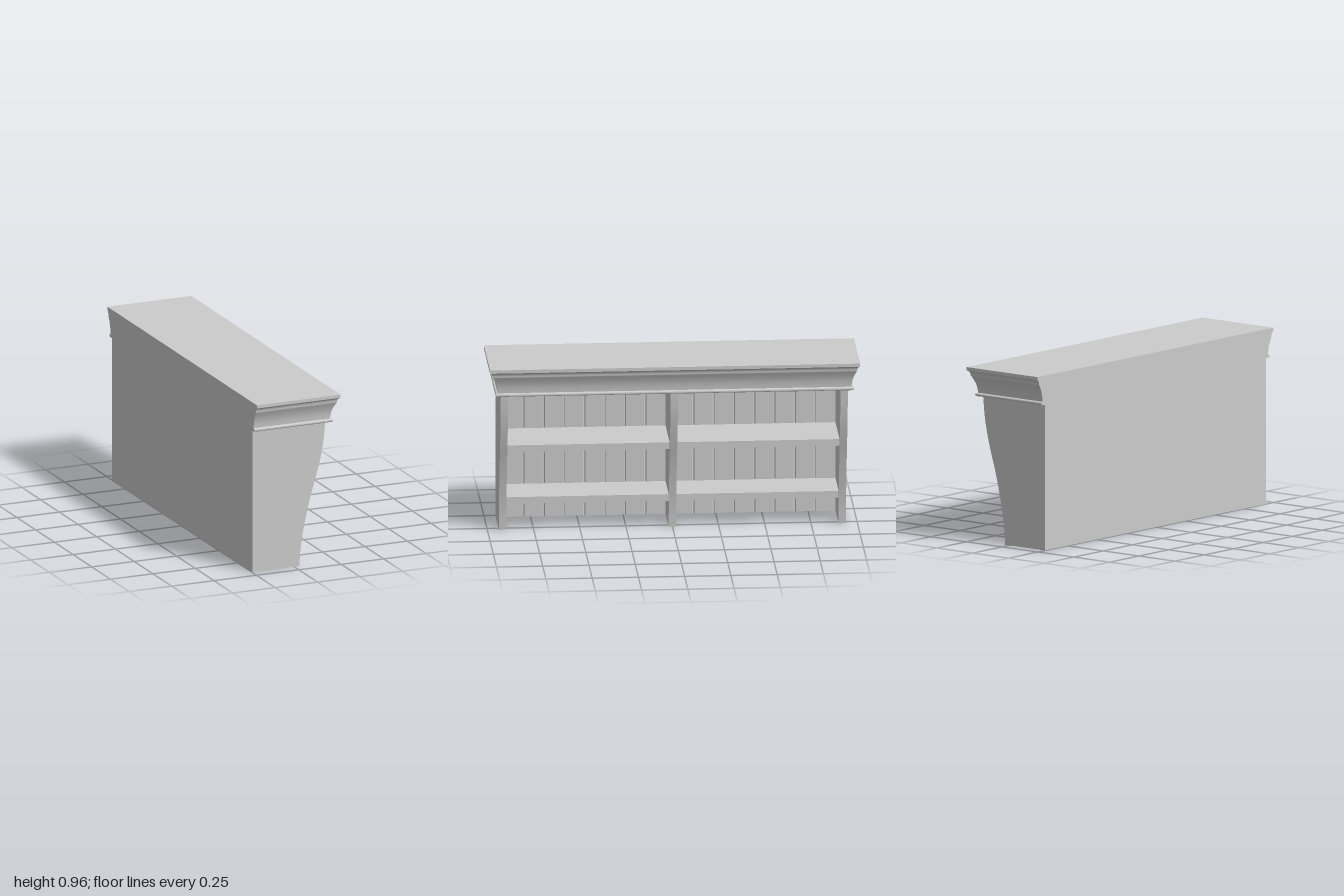
import * as THREE from 'three';
import { toCreasedNormals } from 'three/addons/utils/BufferGeometryUtils.js';

const BACK = -0.247, PANEL = 0.03, UNDER = 0.8;
const HALF = 0.938, THICK = 0.04, INNER = HALF - THICK;
const material = new THREE.MeshStandardMaterial({ color: 0xcccccc });

function add(group, name, geometry) {
  const mesh = new THREE.Mesh(geometry, material);
  mesh.name = name;
  group.add(mesh);
  return mesh;
}

// S-curved front edge shared by the uprights
const edge = new THREE.SplineCurve([
  [0.03, 0], [0.038, 0.1], [0.054, 0.2], [0.075, 0.3], [0.1, 0.4], [0.13, 0.5],
  [0.156, 0.6], [0.174, 0.7], [0.183, UNDER],
].map(([x, y]) => new THREE.Vector2(x, y)));

function uprightGeometry() {
  const shape = new THREE.Shape([
    new THREE.Vector2(BACK, 0), ...edge.getPoints(40), new THREE.Vector2(BACK, UNDER),
  ]);
  const g = new THREE.ExtrudeGeometry(shape, { depth: THICK, bevelEnabled: false });
  g.translate(0, 0, -THICK / 2);
  return toCreasedNormals(g, 0.5);
}

// Back panel: grooved plan outline, extruded upward
function backGeometry() {
  const face = BACK + PANEL, boards = 8;
  const pitch = (INNER - THICK / 2) / boards;
  const shape = new THREE.Shape();
  shape.moveTo(BACK, -INNER);
  shape.lineTo(face, -INNER);
  const centres = [];
  for (let i = 1; i < boards; i++) {
    const z = THICK / 2 + i * pitch;
    centres.push(z, -z);
  }
  for (const z of centres.sort((a, b) => a - b)) {
    shape.lineTo(face, z - 0.006);
    shape.lineTo(face - 0.008, z - 0.002);
    shape.lineTo(face - 0.008, z + 0.002);
    shape.lineTo(face, z + 0.006);
  }
  shape.lineTo(face, INNER);
  shape.lineTo(BACK, INNER);
  const g = new THREE.ExtrudeGeometry(shape, { depth: UNDER, bevelEnabled: false });
  return g.rotateX(-Math.PI / 2);
}

// Crown: moulding profile [overhang, height] mitred round three sides, flat at the back
function crownGeometry() {
  const profile = [[0.02, 0.797]];
  for (let i = 0; i <= 8; i++) {
    const a = -Math.PI / 2 + (i / 8) * Math.PI;
    profile.push([0.021 + 0.009 * Math.cos(a), 0.806 + 0.009 * Math.sin(a)]);
  }
  const cove = new THREE.SplineCurve([
    [0.018, 0.816], [0.02, 0.835], [0.025, 0.86], [0.034, 0.885], [0.045, 0.908],
  ].map(p => new THREE.Vector2(...p)));
  for (const p of cove.getPoints(12)) profile.push([p.x, p.y]);
  const ogee = new THREE.SplineCurve([
    [0.047, 0.912], [0.048, 0.922], [0.052, 0.931], [0.058, 0.937],
  ].map(p => new THREE.Vector2(...p)));
  for (const p of ogee.getPoints(8)) profile.push([p.x, p.y]);
  profile.push([0.062, 0.939], [0.062, 0.957]);

  const positions = [], index = [];
  profile.forEach(([d, y], r) => {
    const f = 0.185 + d, w = HALF + d;
    positions.push(BACK, y, w, f, y, w, f, y, -w, BACK, y, -w);
    if (r === 0) return;
    for (let i = 0; i < 4; i++) {
      const j = (i + 1) % 4, lo = (r - 1) * 4, hi = r * 4;
      index.push(lo + i, lo + j, hi + j, lo + i, hi + j, hi + i);
    }
  });
  const t = (profile.length - 1) * 4;
  index.push(0, 2, 1, 0, 3, 2, t, t + 1, t + 2, t, t + 2, t + 3);
  const g = new THREE.BufferGeometry();
  g.setAttribute('position', new THREE.Float32BufferAttribute(positions, 3));
  g.setIndex(index);
  return toCreasedNormals(g, 0.6);
}

export function createModel() {
  const group = new THREE.Group();
  group.name = 'wallShelf';

  // Two ends and the centre divider
  const upright = uprightGeometry();
  for (const [name, z] of [['leftEnd', -1], ['centreDivider', 0], ['rightEnd', 1]]) {
    add(group, name, upright).position.z = z * (HALF - THICK / 2);
  }

  add(group, 'backPanel', backGeometry());
  add(group, 'crown', crownGeometry());

  // Two shelves in each bay
  const length = INNER - THICK / 2;
  for (const [name, y, front] of [['lowerShelf', 0.166, 0.04], ['upperShelf', 0.478, 0.113]]) {
    const back = BACK + PANEL - 0.01;
    const g = new THREE.BoxGeometry(front - back, 0.037, length);
    for (const side of [-1, 1]) {
      add(group, name, g).position.set((front + back) / 2, y, side * (THICK + length) / 2 
        );
    }
  }
  return group;
}
